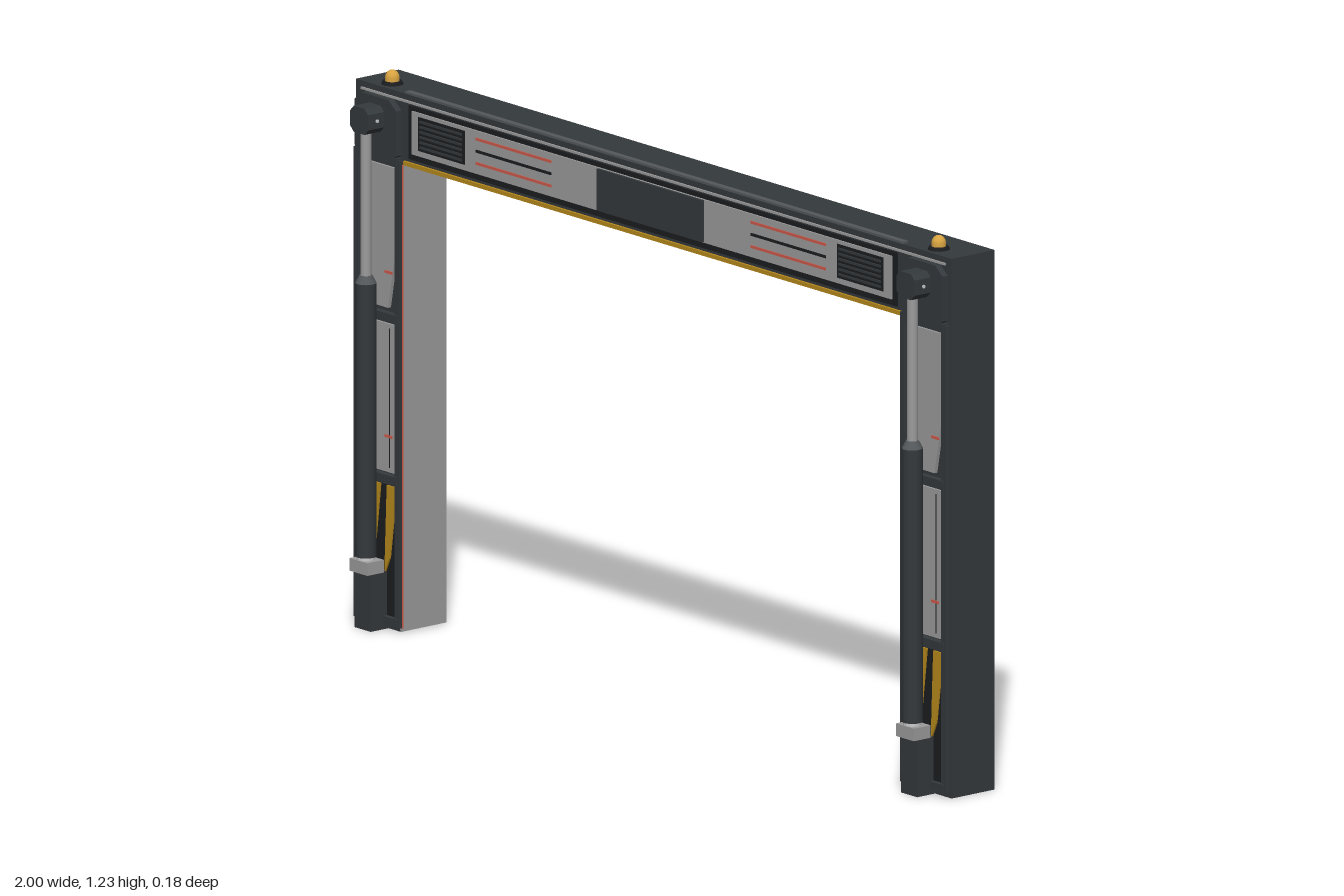
import * as THREE from 'three';

const mat = (color, extra = {}) => new THREE.MeshStandardMaterial({ color, ...extra });
const M = {
  dark: mat(0x34393d), black: mat(0x1b1d1f), steel: mat(0x54585b), grey: mat(0x9c9c9c),
  light: mat(0xcccccc), yellow: mat(0xb88a1c), red: mat(0xd05a4a), amber: mat(0xd9a441),
};

function add(parent, name, geometry, material, x = 0, y = 0, z = 0) {
  const mesh = new THREE.Mesh(geometry, material);
  mesh.name = name;
  mesh.position.set(x, y, z);
  parent.add(mesh);
  return mesh;
}

// Box given by its limits on each axis
function box(parent, name, material, [x0, x1], [y0, y1], [z0, z1]) {
  return add(parent, name, new THREE.BoxGeometry(x1 - x0, y1 - y0, z1 - z0), material,
    (x0 + x1) / 2, (y0 + y1) / 2, (z0 + z1) / 2);
}

const polygon = pts => new THREE.Shape(pts.map(p => new THREE.Vector2(...p)));

// Flat plate cut from an outline, standing on the plane z0
function plate(parent, name, material, pts, z0, z1) {
  return add(parent, name,
    new THREE.ExtrudeGeometry(polygon(pts), { depth: z1 - z0, bevelEnabled: false }), material, 0, 0, z0);
}

function cylinder(parent, name, material, r0, r1, y0, y1, z, sides = 20) {
  return add(parent, name, new THREE.CylinderGeometry(r1, r0, y1 - y0, sides), material, 0, (y0 + y1) / 2, z);
}

// Everything mounted on one leg, centred on local x = 0
function legFittings(side) {
  const g = new THREE.Group();
  g.name = side > 0 ? 'leftLegFittings' : 'rightLegFittings';

  // Raised edge rails and cross bars
  for (const s of [-1, 1]) box(g, 'edgeRail', M.dark, [s * 0.069 - 0.007, s * 0.069 + 0.007], [0.01, 1.05], [0.03, 0.042]);
  for (const y of [0.02, 0.335, 0.695, 1.045]) {
    box(g, 'crossBar', M.dark, [-0.072, 0.072], [y - 0.01, y + 0.01], [0.03, 0.045]);
  }

  // Upper panel with tapered lower end, and plain middle panel
  plate(g, 'upperPanel', M.grey,
    [[-0.055, 1.03], [0.055, 1.03], [0.055, 0.82], [0.035, 0.715], [-0.035, 0.715], [-0.055, 0.82]], 0.03, 0.038);
  box(g, 'middlePanel', M.grey, [-0.055, 0.055], [0.35, 0.68], [0.03, 0.038]);
  for (const s of [-1, 1]) {
    box(g, 'panelSeam', M.black, [s * 0.04 - 0.001, s * 0.04 + 0.001], [0.36, 0.67], [0.038, 0.039]);
    for (const y of [0.43, 0.795]) box(g, 'redMark', M.red, [s * 0.038 - 0.012, s * 0.038 + 0.012], [y - 0.003, y + 0.003], [0.037, 0.04]);
  }

  // Warning panel with slanted bands
  box(g, 'warningPanel', M.black, [-0.06, 0.06], [0.03, 0.325], [0.03, 0.034]);
  const bands = [
    [[-0.058, 0.035], [-0.028, 0.035], [0.008, 0.32], [-0.022, 0.32]],
    [[0.022, 0.12], [0.04, 0.16], [0.058, 0.29], [0.058, 0.32], [0.03, 0.32]],
    [[-0.058, 0.16], [-0.038, 0.32], [-0.058, 0.32]],
  ];
  for (const b of bands) plate(g, 'warningBand', M.yellow, b, 0.033, 0.038);

  // Corner plate and rod bracket
  plate(g, 'cornerPlate', M.dark,
    [[-0.07, 1.06], [-0.045, 1.04], [0.045, 1.04], [0.07, 1.06], [0.07, 1.16], [0.045, 1.18], [-0.045, 1.18], [-0.07, 1.16]], 0.03, 0.045);
  const c = 0.012, x = 0.03;
  plate(g, 'rodBracket', M.dark,
    [[-x, 1.105 + c], [-x + c, 1.105], [x - c, 1.105], [x, 1.105 + c], [x, 1.163 - c], [x - c, 1.163], [-x + c, 1.163], [-x, 1.163 - c]], 0.04, 0.09);
  const pin = add(g, 'bracketPin', new THREE.CylinderGeometry(0.004, 0.004, 0.064, 12), M.light, 0, 1.134, 0.065);
  pin.rotation.z = Math.PI / 2;

  // Hydraulic ram
  const z = 0.071;
  box(g, 'ramFoot', M.dark, [-0.027, 0.027], [0, 0.128], [0.03, 0.08]);
  box(g, 'ramCollar', M.grey, [-0.03, 0.03], [0.127, 0.155], [0.045, 0.092]);
  cylinder(g, 'ramSeal', M.light, 0.02, 0.02, 0.155, 0.164, z);
  cylinder(g, 'ramBarrel', M.dark, 0.023, 0.023, 0.162, 0.77, z);
  cylinder(g, 'ramNeck', M.steel, 0.023, 0.014, 0.77, 0.787, z);
  cylinder(g, 'ramRod', M.grey, 0.012, 0.012, 0.785, 1.11, z);

  // Warning lamp on top
  cylinder(g, 'lampBase', M.black, 0.024, 0.021, 1.2, 1.207, -0.003);
  const lamp = [[0.016, 0], [0.016, 0.011], [0.0145, 0.017], [0.011, 0.0225], [0.006, 0.026], [0, 0.027]];
  add(g, 'lampDome', new THREE.LatheGeometry(lamp.map(p => new THREE.Vector2(...p)), 20), M.amber, 0, 1.204, -0.003);
  return g;
}

// Display panels mounted on the crossbeam
function beamFittings() {
  const g = new THREE.Group();
  g.name = 'beamFittings';
  box(g, 'topRail', M.steel, [-0.835, 0.835], [1.195, 1.205], [0.015, 0.03]);
  box(g, 'upperTrim', M.grey, [-0.98, 0.98], [1.182, 1.187], [0.03, 0.034]);
  box(g, 'bottomStrip', M.yellow, [-0.835, 0.835], [1.042, 1.051], [0.022, 0.036]);
  box(g, 'panelSurround', M.black, [-0.82, 0.82], [1.058, 1.178], [0.03, 0.033]);
  box(g, 'facePanel', M.grey, [-0.805, 0.805], [1.072, 1.168], [0.03, 0.037]);
  box(g, 'centrePlate', M.dark, [-0.177, 0.177], [1.074, 1.167], [0.03, 0.043]);
  for (const s of [-1, 1]) {
    const span = (a, b) => (s > 0 ? [a, b] : [-b, -a]);
    // Vent with louvres
    box(g, 'vent', M.black, span(0.625, 0.78), [1.085, 1.16], [0.03, 0.039]);
    for (let i = 0; i < 6; i++) {
      const y = 1.094 + i * 0.0114;
      box(g, 'ventLouvre', M.dark, span(0.632, 0.773), [y - 0.0025, y + 0.0025], [0.037, 0.042]);
    }
    // Stripes
    [M.red, M.black, M.red].forEach((m, i) => {
      const y = 1.096 + i * 0.027;
      box(g, 'stripe', m, span(0.335, 0.587), [y - 0.003, y + 0.003], [0.036, 0.039]);
    });
  }
  return g;
}

export function createModel() {
  const model = new THREE.Group();
  model.name = 'gantry';

  // Main portal frame
  plate(model, 'portalFrame', M.dark,
    [[-1, 0], [-0.85, 0], [-0.85, 1.046], [0.85, 1.046], [0.85, 0], [1, 0], [1, 1.2], [-1, 1.2]], -0.09, 0.03);

  for (const s of [-1, 1]) {
    // Lining on the inner leg face with a red front line
    box(model, 'innerLining', M.grey, [s * 0.845 - 0.006, s * 0.845 + 0.006], [0.003, 1.046], [-0.09, 0.031]);
    box(model, 'redEdgeLine', M.red, [s * 0.841 - 0.002, s * 0.841 + 0.002], [0.01, 1.04], [0.029, 0.034]);
    const fittings = legFittings(s);
    fittings.position.x = s * 0.917;
    model.add(fittings);
  }
  model.add(beamFittings());
  return model;
}
